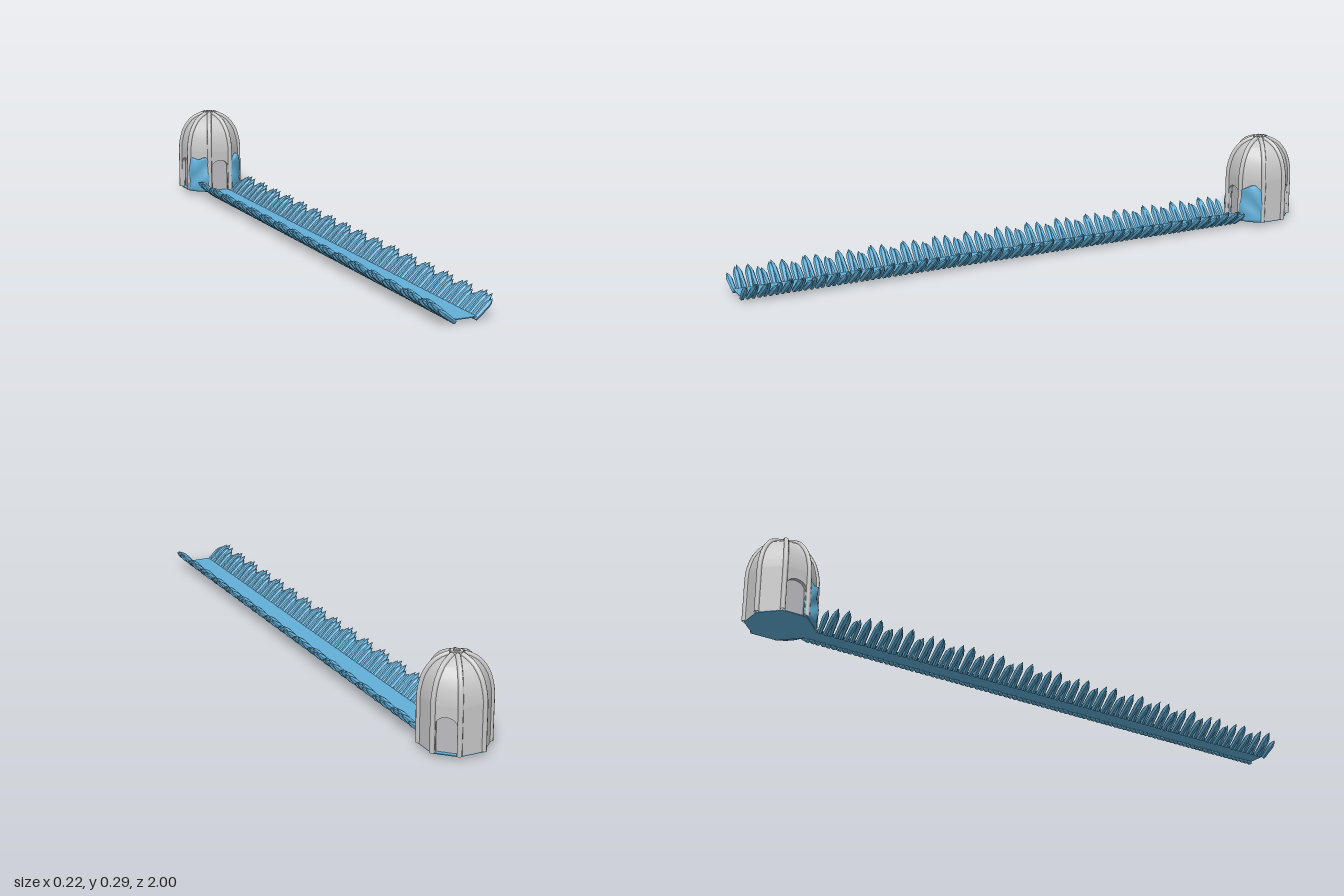
import * as THREE from 'three';
import { mergeGeometries, mergeVertices, toCreasedNormals } from 'three/addons/utils/BufferGeometryUtils.js';

const FLOOR = 0.02, SPRING = 0.165, R = 0.105, APOTHEM = R * Math.cos(Math.PI / 8);
const HALF_SIDE = R * Math.sin(Math.PI / 8);
const DOME_Z = -0.895;

// Corner radius and height up the dome
const PROFILE = [
  [R, SPRING], [0.1035, 0.185], [0.099, 0.207], [0.092, 0.23], [0.081, 0.25],
  [0.065, 0.27], [0.044, 0.284], [0.02, 0.293],
];

export function createModel() {
  const stone = new THREE.MeshStandardMaterial({ name: 'stone grey', color: 0xc9c9c9, side: THREE.DoubleSide });
  const doorway = new THREE.MeshStandardMaterial({ name: 'doorway grey', color: 0xbebdc2 });
  const ice = new THREE.MeshStandardMaterial({ name: 'ice blue', color: 0x62b0d9 });
  const iceFacet = ice.clone();
  iceFacet.flatShading = true;

  const model = new THREE.Group();
  model.name = 'domeWithCrystalPath';
  const add = (parent, name, geometry, material, x = 0, y = 0, z = 0) => {
    const mesh = new THREE.Mesh(geometry, material);
    mesh.name = name;
    mesh.position.set(x, y, z);
    parent.add(mesh);
    return mesh;
  };

  // Octagonal dome
  const dome = new THREE.Group();
  dome.name = 'dome';
  dome.position.set(-0.003, 0, DOME_Z);
  model.add(dome);
  const points = PROFILE.map(([r, y]) => new THREE.Vector2(r, y));
  points.push(new THREE.Vector2(0, 0.295));
  add(dome, 'domeRoof', toCreasedNormals(new THREE.LatheGeometry(points, 8, Math.PI / 8), 0.6), stone);

  // Straight walls, three of them with arched doorways
  const wallShape = (hasDoor) => {
    const s = new THREE.Shape();
    s.moveTo(-HALF_SIDE, FLOOR);
    if (hasDoor) {
      s.lineTo(-0.032, FLOOR);
      s.lineTo(-0.032, 0.107);
      s.absellipse(0, 0.107, 0.032, 0.025, Math.PI, 0, true);
      s.lineTo(0.032, FLOOR);
    }
    s.lineTo(HALF_SIDE, FLOOR);
    s.lineTo(HALF_SIDE, SPRING);
    s.lineTo(-HALF_SIDE, SPRING);
    return s;
  };
  const doors = [0, 3, 6];
  for (let i = 0; i < 8; i++) {
    const geo = new THREE.ExtrudeGeometry(wallShape(doors.includes(i)), { depth: 0.012, bevelEnabled: false, curveSegments: 12 });
    geo.translate(0, 0, APOTHEM - 0.012);
    add(dome, 'wallPanel', geo, stone).rotation.y = (i * Math.PI) / 4;
  }
  const core = new THREE.CylinderGeometry(R - 0.015, R - 0.015, SPRING - FLOOR, 8, 1, false, Math.PI / 8);
  add(dome, 'doorwayRecess', toCreasedNormals(core, 0.5), doorway, 0, (SPRING + FLOOR) / 2, 0);

  // Ribs running up each corner to the hub
  const ribPath = new THREE.CatmullRomCurve3(
    [[R, FLOOR], [R, 0.09], ...PROFILE].map(([r, y]) => new THREE.Vector3(0, y, r)));
  const ribGeo = new THREE.TubeGeometry(ribPath, 24, 0.0078, 8);
  for (let i = 0; i < 8; i++) {
    add(dome, 'rib', ribGeo, stone).rotation.y = ((i + 0.5) * Math.PI) / 4;
  }

  // Small ring on the top
  const hub = [[0.009, 0.288], [0.02, 0.288], [0.02, 0.3], [0.011, 0.3], [0.011, 0.295]]
    .map(([r, y]) => new THREE.Vector2(r, y));
  add(dome, 'topHub', toCreasedNormals(new THREE.LatheGeometry(hub, 8, Math.PI / 8), 0.5), stone);

  // Ice floor of the dome and the long path
  add(dome, 'domeFloor', new THREE.CylinderGeometry(R, R, 0.003, 8, 1, false, Math.PI / 8), ice, 0, FLOOR - 0.0015, 0);
  add(model, 'path', new THREE.BoxGeometry(0.07, 0.003, 1.79), ice, -0.003, FLOOR - 0.0015, 0.092);

  // Lumpy ice sheets on the two front diagonal walls
  for (const side of [-1, 1]) {
    let geo = new THREE.BoxGeometry(0.088, 0.13, 0.02, 12, 14, 3);
    const p = geo.attributes.position;
    for (let i = 0; i < p.count; i++) {
      const u = p.getX(i) / 0.044, v = p.getY(i) / 0.13 + 0.5, front = p.getZ(i) / 0.02 + 0.5;
      const top = 0.122 + 0.006 * Math.sin(u * 4 + side) - 0.018 * u ** 4;
      const bulge = 0.006 + 0.011 * (1 - u * u) * (1 - 0.4 * v ** 4)
        + 0.003 * Math.sin(v * 9 + u * 3 * side) * Math.min(1, v * 4);
      p.setXYZ(i, p.getX(i) * (1 - 0.1 * v ** 6 + 0.04 * Math.sin(v * 8)),
        FLOOR + v * top, APOTHEM - 0.01 + front * (0.008 + bulge));
    }
    geo.deleteAttribute('normal');
    geo.deleteAttribute('uv');
    geo = mergeVertices(geo);
    geo.computeVertexNormals();
    add(dome, side > 0 ? 'leftIceSheet' : 'rightIceSheet', geo, ice).rotation.y = (side * Math.PI) / 4;
  }

  // One pointed crystal of unit length along y
  const crystal = new THREE.LatheGeometry(
    [[0, 0], [0.007, 0], [0.0095, 0.68], [0.0065, 0.84], [0, 1]].map(([r, y]) => new THREE.Vector2(r, y)), 6);
  // Offset along the path, length, lean and yaw of the crystals in one cluster
  const cluster = [
    [-0.046, 0.075, 0.66, 0.10], [-0.029, 0.09, 0.74, -0.08], [-0.011, 0.098, 0.68, 0.05],
    [0.008, 0.086, 0.80, -0.10], [0.026, 0.094, 0.70, 0.08], [0.044, 0.078, 0.76, -0.06],
  ];
  const COUNT = 16, STEP = 1.782 / COUNT;
  for (const side of [-1, 1]) {
    const parts = [];
    for (let i = 0; i < COUNT; i++) {
      for (const [dz, length, lean, yaw] of cluster) {
        const turn = new THREE.Quaternion().setFromEuler(
          new THREE.Euler(0, yaw, -side * (Math.PI / 2 - lean), 'YXZ'));
        const at = new THREE.Vector3(side * 0.033, 0.0105, -0.79 + (i + 0.5) * STEP + side * dz);
        const matrix = new THREE.Matrix4().compose(at, turn, new THREE.Vector3(1, length, 1.1));
        parts.push(crystal.clone().applyMatrix4(matrix));
      }
    }
    add(model, side > 0 ? 'leftCrystals' : 'rightCrystals', mergeGeometries(parts), iceFacet, -0.003);
  }
  return model;
}
